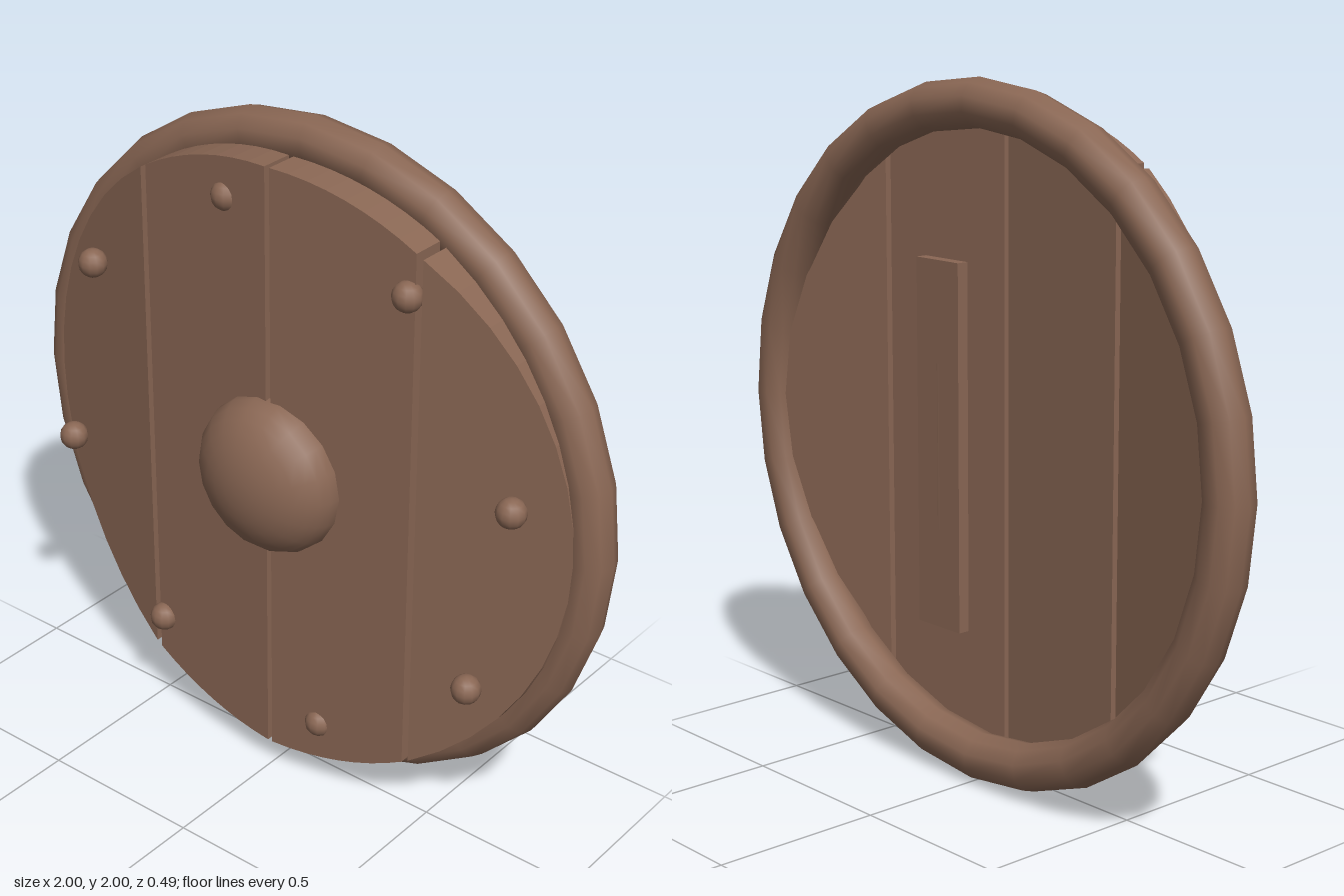
import * as THREE from 'three';

export function createModel() {
  const model = new THREE.Group();
  model.name = 'roundShield';
  const wood = new THREE.MeshStandardMaterial({ color: 0x8a6754 });
  wood.name = 'brown wood';

  const add = (name, geometry, x, y, z) => {
    const mesh = new THREE.Mesh(geometry, wood);
    mesh.name = name;
    mesh.position.set(x, y, z);
    model.add(mesh);
    return mesh;
  };

  // Rim ring
  add('rim', new THREE.TorusGeometry(0.931, 0.069, 10, 28), 0, 1, -0.09);

  // Planks: slices of a disc, each sloping back towards the side
  const R = 0.916;
  const plank = (side, x0, x1, z0, z1) => {
    const a0 = Math.acos(x0 / R), a1 = Math.acos(x1 / R), steps = 8;
    const arc = [];
    for (let i = 0; i <= steps; i++) {
      const a = a0 + (a1 - a0) * i / steps;
      arc.push(new THREE.Vector2(side * R * Math.cos(a), R * Math.sin(a)));
    }
    const lower = arc.map(p => new THREE.Vector2(p.x, -p.y)).reverse();
    if (x1 === R) lower.shift();
    const geometry = new THREE.ExtrudeGeometry(new THREE.Shape([...arc, ...lower]),
      { depth: 0.1, bevelEnabled: false });
    const pos = geometry.attributes.position;
    for (let i = 0; i < pos.count; i++) {
      const t = (Math.abs(pos.getX(i)) - x0) / (x1 - x0);
      pos.setZ(i, pos.getZ(i) - 0.1 + z0 + (z1 - z0) * t);
    }
    geometry.computeVertexNormals();
    return geometry;
  };
  for (const [side, word] of [[1, 'left'], [-1, 'right']]) {
    add(word + 'InnerPlank', plank(side, 0.008, 0.459, 0.108, 0.074), 0, 1, 0);
    add(word + 'OuterPlank', plank(side, 0.479, R, 0.072, -0.024), 0, 1, 0);
  }

  // Central boss, a flattened dome
  const dome = new THREE.SphereGeometry(0.236, 18, 8, 0, Math.PI * 2, 0, Math.PI / 2);
  dome.rotateX(Math.PI / 2);
  add('boss', dome, 0, 1, 0.09).scale.z = 0.66;

  // Ring of studs
  for (let i = 0; i < 8; i++) {
    const a = THREE.MathUtils.degToRad(11.8 + 45 * i);
    add('stud' + (i + 1), new THREE.SphereGeometry(0.043, 12, 8),
      0.802 * Math.cos(a), 1 + 0.802 * Math.sin(a), 0.08);
  }

  // Handle board and grip on the back
  add('handleBoard', new THREE.BoxGeometry(0.17, 1.03, 0.034), 0, 1.005, -0.228);
  add('handleGrip', new THREE.CylinderGeometry(0.035, 0.035, 0.465, 12), 0, 1.003, -0.211);

  return model;
}
